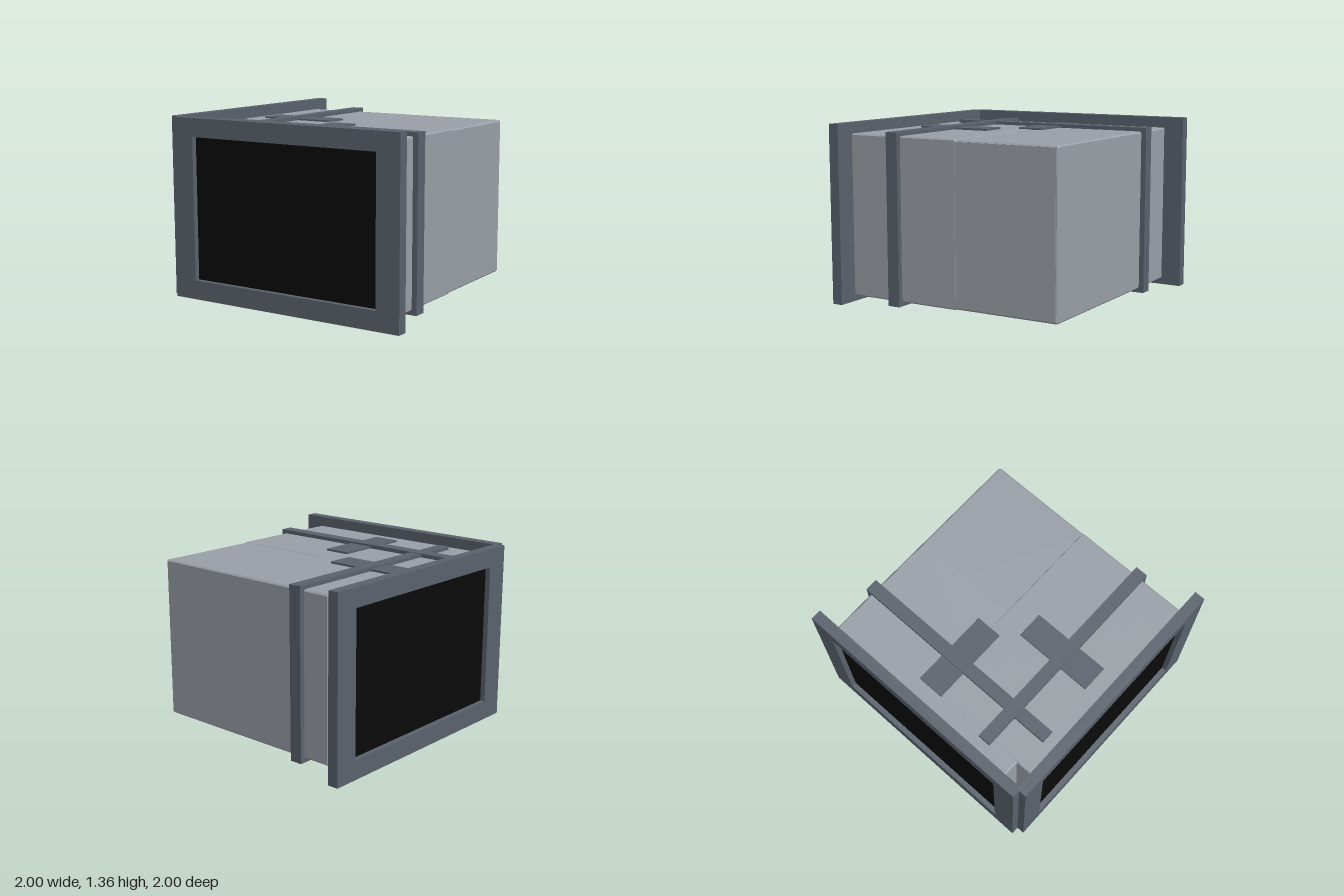
import * as THREE from 'three';

const caseMat = new THREE.MeshStandardMaterial({ color: 0x9aa0a8 });
const frameMat = new THREE.MeshStandardMaterial({ color: 0x5a626c });
const screenMat = new THREE.MeshStandardMaterial({ color: 0x0a0a0a });

function add(group, name, geometry, material, x = 0, y = 0, z = 0) {
  const mesh = new THREE.Mesh(geometry, material);
  mesh.name = name;
  mesh.position.set(x, y, z);
  group.add(mesh);
  return mesh;
}

// Box given by its limits
function block(group, name, material, x0, x1, y0, y1, z0, z1) {
  return add(group, name, new THREE.BoxGeometry(x1 - x0, y1 - y0, z1 - z0), material,
    (x0 + x1) / 2, (y0 + y1) / 2, (z0 + z1) / 2);
}

// Rectangle outline centred on the origin, with cut corners of size c
function rectangle(w, h, c) {
  const a = w / 2, b = h / 2;
  return new THREE.Shape([
    [-a + c, -b], [a - c, -b], [a, -b + c], [a, b - c],
    [a - c, b], [-a + c, b], [-a, b - c], [-a, -b + c],
  ].map(([x, y]) => new THREE.Vector2(x, y)));
}

// Case shell with all edges chamfered by c
function shell(group, name, halfWidth, y0, y1, z0, z1) {
  const c = 0.01;
  const geometry = new THREE.ExtrudeGeometry(rectangle(2 * (halfWidth - c), y1 - y0 - 2 * c, 0.004), {
    depth: z1 - z0 - 2 * c, bevelThickness: c, bevelSize: c, bevelSegments: 1,
  });
  add(group, name, geometry, caseMat, 0, (y0 + y1) / 2, z0 + c);
}

// One monitor facing +z; inset keeps crossing cases from sharing surfaces
function createMonitor(name, inset) {
  const g = new THREE.Group();
  g.name = name;

  // Case in two halves with a fine seam
  shell(g, 'frontCase', 0.817 - inset, 0.046 + inset, 1.281 - inset, -0.02, 0.92);
  shell(g, 'rearCase', 0.813 - inset, 0.05 + inset, 1.276 - inset, -0.848 + inset, 0.02);

  // Flat frame with a window
  const outline = new THREE.Shape([
    new THREE.Vector2(-0.97, 0), new THREE.Vector2(0.97, 0),
    new THREE.Vector2(0.97, 1.36), new THREE.Vector2(-0.97, 1.36),
  ]);
  outline.holes.push(new THREE.Path([
    new THREE.Vector2(-0.785, 0.145), new THREE.Vector2(-0.785, 1.22),
    new THREE.Vector2(0.785, 1.22), new THREE.Vector2(0.785, 0.145),
  ]));
  add(g, 'screenFrame', new THREE.ExtrudeGeometry(outline, { depth: 0.083, bevelEnabled: false }),
    frameMat, 0, 0, 0.917);
  block(g, 'screen', screenMat, -0.785, 0.785, 0.145, 1.22, 0.918, 0.96);

  // Band round the case and the plate on top
  block(g, 'band', frameMat, -0.857, 0.857, 0.015 + inset, 1.31 - inset, 0.465, 0.563);
  block(g, 'topPlate', frameMat, -0.102, 0.102, 1.26, 1.296 - inset, 0.178, 0.793);
  return g;
}

export function createModel() {
  const model = new THREE.Group();
  model.name = 'crossedMonitors';

  const front = createMonitor('frontMonitor', 0);
  front.position.x = 0.03;

  const side = createMonitor('sideMonitor', 0.003);
  side.rotation.y = -Math.PI / 2;
  side.position.z = -0.03;

  model.add(front, side);
  return model;
}
